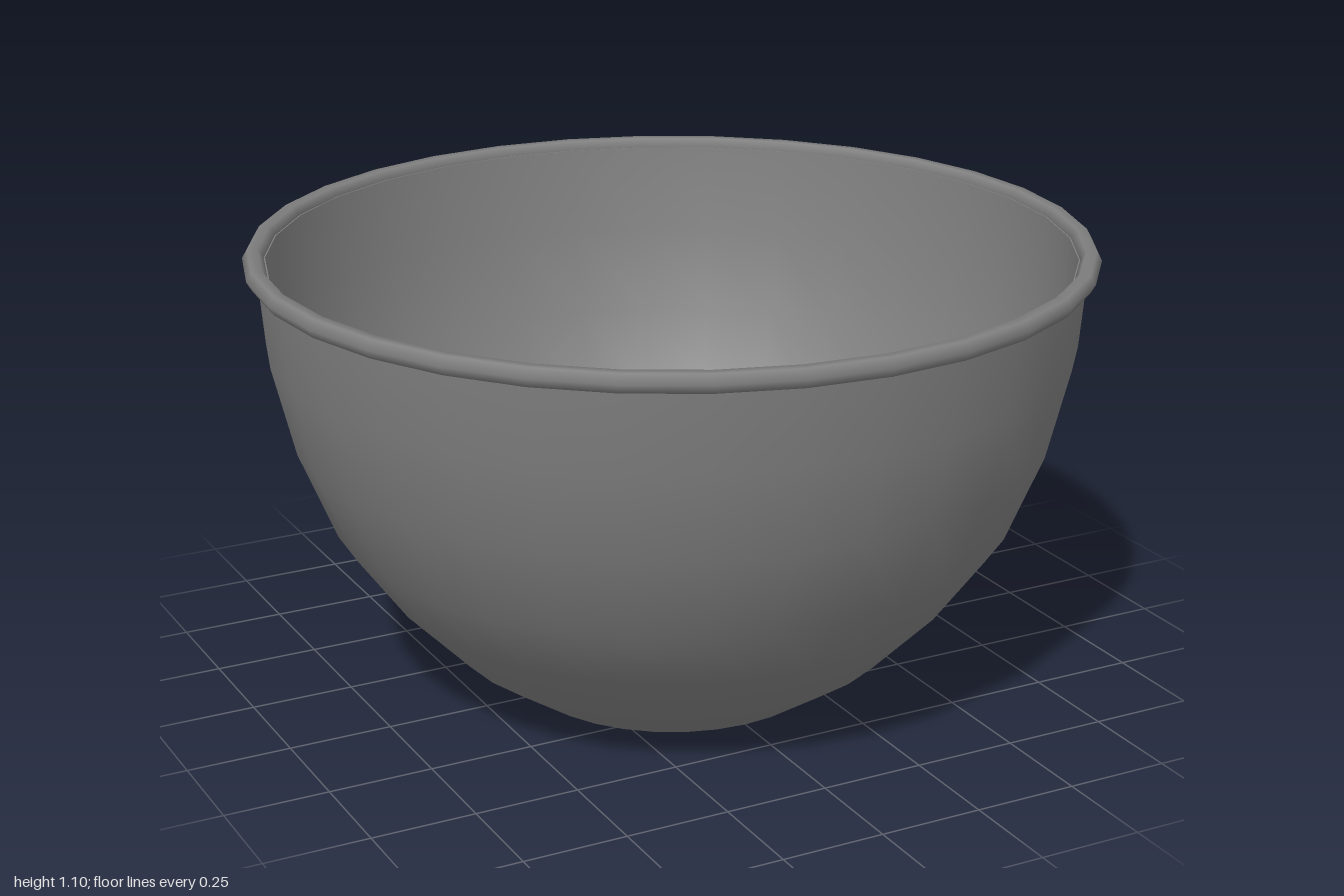
import * as THREE from 'three';
import { toCreasedNormals } from 'three/addons/utils/BufferGeometryUtils.js';

const SIDES = 32;
const material = (color) => new THREE.MeshStandardMaterial({ color });

export function createModel() {
  const model = new THREE.Group();
  model.name = 'bowlOfFood';
  const bowlMaterial = material(0x808080);
  const add = (name, geometry, mat, x = 0, y = 0, z = 0) => {
    const mesh = new THREE.Mesh(geometry, mat);
    mesh.name = name;
    mesh.position.set(x, y, z);
    model.add(mesh);
    return mesh;
  };

  // Bowl wall: outer profile going up, inner profile coming back down
  const outer = [[0, 0], [0.377, 0], [0.54, 0.11], [0.695, 0.27], [0.815, 0.435],
    [0.903, 0.65], [0.955, 0.865], [0.972, 1.075]];
  const inner = [[0.947, 1.075], [0.928, 0.865], [0.877, 0.66], [0.792, 0.45],
    [0.675, 0.29], [0.523, 0.135], [0.37, 0.03], [0, 0.03]];
  const profile = [...outer, ...inner].map(([r, y]) => new THREE.Vector2(r, y));
  add('bowl', toCreasedNormals(new THREE.LatheGeometry(profile, SIDES), 0.52), bowlMaterial);

  // Rolled six-sided rim
  const rim = new THREE.TorusGeometry(0.975, 0.025, 6, SIDES).rotateX(Math.PI / 2);
  add('rim', rim, bowlMaterial, 0, 1.075, 0);

  // Flattened mound of filling
  const filling = new THREE.SphereGeometry(0.65, SIDES, 16).scale(1, 0.26, 1);
  add('filling', filling, material(0xf0e8d8), 0, 0.28, 0);

  // Round pieces on the filling: x, y, z, radius
  const yellow = material(0xe8cc30);
  [
    [0, 0.4, 0.29, 0.15],
    [-0.395, 0.37, 0.045, 0.14],
    [0.4, 0.42, 0.07, 0.137],
    [-0.073, 0.54, -0.165, 0.13],
    [0.222, 0.47, -0.265, 0.13],
  ].forEach(([x, y, z, r], i) =>
    add(`topping${i + 1}`, new THREE.SphereGeometry(r, 24, 16), yellow, x, y, z));

  return model;
}
